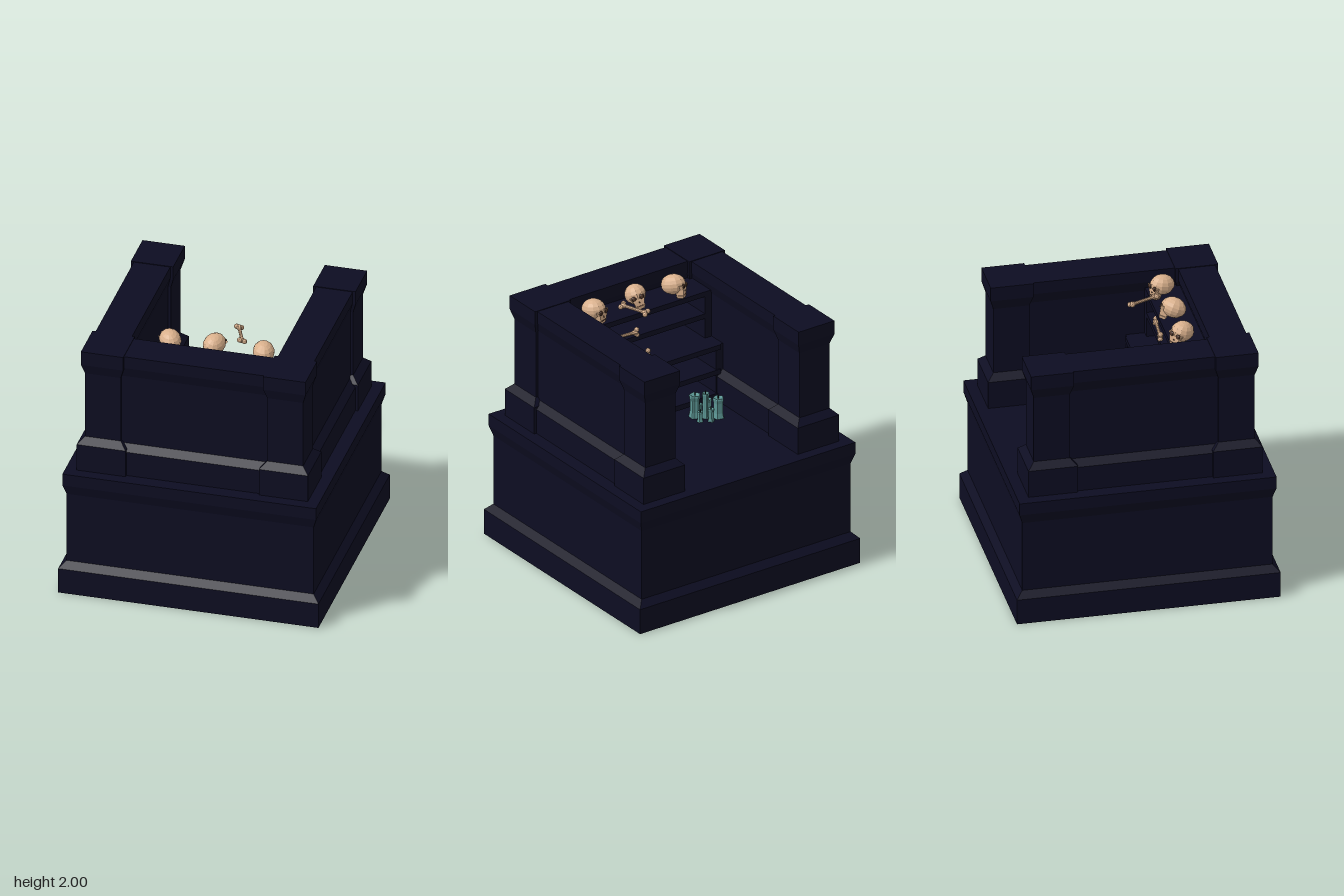
import * as THREE from 'three';

const mat = (name, color) => {
  const m = new THREE.MeshStandardMaterial({ color });
  m.name = name;
  return m;
};
const stone = mat('dark stone', 0x0d0d22);
const boneMat = mat('old bone', 0xd9b08c);
const socketMat = mat('socket brown', 0x4a3226);
const wax = mat('teal wax', 0x5c9694);
const wickMat = mat('wick', 0x14201f);

const flat = (geo) => {
  const g = geo.index ? geo.toNonIndexed() : geo;
  g.computeVertexNormals();
  return g;
};

function add(parent, name, geo, material, x = 0, y = 0, z = 0) {
  const m = new THREE.Mesh(geo, material);
  m.name = name;
  m.position.set(x, y, z);
  parent.add(m);
  return m;
}

// Rectangular block whose outline grows or shrinks by level: [y, halfWidth, halfDepth]
function moulding(levels) {
  const ring = ([y, w, d]) => [[-w, y, d], [w, y, d], [w, y, -d], [-w, y, -d]];
  const pos = [];
  const quad = (a, b, c, d) => pos.push(...a, ...b, ...c, ...a, ...c, ...d);
  const rings = levels.map(ring);
  for (let i = 0; i < rings.length - 1; i++) {
    for (let k = 0; k < 4; k++) {
      const n = (k + 1) % 4;
      quad(rings[i][k], rings[i][n], rings[i + 1][n], rings[i + 1][k]);
    }
  }
  const [a, b, c, d] = rings[0];
  quad(d, c, b, a);
  quad(...rings[rings.length - 1]);
  const g = new THREE.BufferGeometry();
  g.setAttribute('position', new THREE.Float32BufferAttribute(pos, 3));
  g.computeVertexNormals();
  return g;
}

// Skull facing +z, about 0.2 tall
function skull(name) {
  const g = new THREE.Group();
  g.name = name;
  const cranium = new THREE.SphereGeometry(1, 12, 9);
  cranium.scale(0.08, 0.076, 0.095);
  add(g, 'cranium', flat(cranium), boneMat, 0, 0.012, -0.005);
  const face = moulding([[-0.07, 0.034, 0.026], [-0.03, 0.042, 0.034], [0.005, 0.06, 0.036]]);
  add(g, 'cheeks', face, boneMat, 0, 0, 0.045);
  const jaw = moulding([[-0.095, 0.026, 0.02], [-0.072, 0.037, 0.03]]);
  add(g, 'jaw', jaw, boneMat, 0, 0, 0.044);
  add(g, 'mouth', new THREE.BoxGeometry(0.056, 0.006, 0.006), socketMat, 0, -0.071, 0.071);
  for (const s of [-1, 1]) {
    const eye = new THREE.SphereGeometry(1, 8, 6);
    eye.scale(0.02, 0.019, 0.012);
    add(g, 'eyeSocket', flat(eye), socketMat, s * 0.03, -0.004, 0.08);
  }
  const nose = add(g, 'noseHole', flat(new THREE.ConeGeometry(0.011, 0.024, 3)), socketMat, 0, -0.034, 0.076);
  nose.scale.z = 0.6;
  return g;
}

// Long bone between two points, with paired knuckles at both ends
function bone(name, from, to) {
  const a = new THREE.Vector3(...from), b = new THREE.Vector3(...to);
  const len = a.distanceTo(b);
  const g = new THREE.Group();
  g.name = name;
  const profile = [[0, -0.5], [0.02, -0.48], [0.022, -0.42], [0.013, -0.3], [0.012, 0],
    [0.013, 0.3], [0.022, 0.42], [0.02, 0.48], [0, 0.5]].map(([r, t]) => new THREE.Vector2(r, t * len * 0.92));
  add(g, 'shaft', flat(new THREE.LatheGeometry(profile, 8)), boneMat);
  for (const e of [-1, 1]) {
    for (const s of [-1, 1]) {
      add(g, 'knuckle', flat(new THREE.IcosahedronGeometry(0.02, 1)), boneMat, s * 0.019, e * (len / 2 - 0.018), 0);
    }
  }
  g.position.copy(a).lerp(b, 0.5);
  g.quaternion.setFromUnitVectors(new THREE.Vector3(0, 1, 0), b.sub(a).normalize());
  return g;
}

// Candle with a wavy, dripping rim and a sunken top
function candle(r, h, x, z) {
  const g = new THREE.Group();
  g.name = 'candle';
  const pts = [[0, 0], [1.05, 0], [0.85, 0.25], [0.85, 0.75], [1, 0.93], [0.9, 1], [0.5, 0.96], [0, 0.94]];
  const geo = new THREE.LatheGeometry(pts.map(([u, v]) => new THREE.Vector2(u * r, v * h)), 16);
  const p = geo.attributes.position;
  for (let i = 0; i < p.count; i++) {
    const k = 1 + 0.1 * Math.cos(5 * Math.atan2(p.getZ(i), p.getX(i)) + x * 40);
    p.setX(i, p.getX(i) * k);
    p.setZ(i, p.getZ(i) * k);
  }
  add(g, 'wax', flat(geo), wax);
  add(g, 'wick', new THREE.CylinderGeometry(0.005, 0.005, 0.025, 6), wickMat, 0, h + 0.005, 0);
  g.position.set(x, 0.985, z);
  return g;
}

export function createModel() {
  const model = new THREE.Group();
  model.name = 'cryptTower';

  // Plinth with stepped foot and flared top
  const plinth = [[0, 0.985], [0.2, 0.985], [0.25, 0.935], [0.81, 0.935], [0.89, 0.96], [0.985, 0.96]];
  add(model, 'plinth', moulding(plinth.map(([y, r]) => [y, r, r])), stone);

  // Corner pillars
  const pillar = [[0.98, 0.185], [1.2, 0.185], [1.25, 0.135], [1.78, 0.135], [1.86, 0.16], [1.97, 0.16]];
  const pillarGeo = moulding(pillar.map(([y, r]) => [y, r, r]));
  for (const x of [-0.69, 0.69]) {
    for (const z of [-0.69, 0.69]) add(model, 'cornerPillar', pillarGeo, stone, x, 0, z);
  }

  // Walls on three sides; the back stays open
  const wall = [[0.98, 0.165], [1.18, 0.165], [1.23, 0.115], [1.79, 0.115], [1.87, 0.138], [1.965, 0.138]];
  const sideGeo = moulding(wall.map(([y, r]) => [y, r, 0.6]));
  const frontGeo = moulding(wall.map(([y, r]) => [y, 0.6, r]));
  for (const x of [-0.69, 0.69]) add(model, 'sideWall', sideGeo, stone, x, 0, 0);
  add(model, 'frontWall', frontGeo, stone, 0, 0, 0.69);

  // Shelves against the inside of the front wall, the lower ones deeper
  for (const [top, edge] of [[1.82, 0.31], [1.64, 0.31], [1.44, 0.16], [1.24, 0.16], [1.05, 0.16]]) {
    const depth = 0.6 - edge;
    add(model, 'shelf', new THREE.BoxGeometry(1.1, 0.04, depth), stone, 0, top - 0.02, edge + depth / 2);
  }
  for (const s of [-1, 1]) {
    add(model, 'lowerShelfSide', new THREE.BoxGeometry(0.07, 0.46, 0.42), stone, s * 0.55, 1.21, 0.38);
    add(model, 'upperShelfSide', new THREE.BoxGeometry(0.07, 0.38, 0.28), stone, s * 0.55, 1.63, 0.45);
  }

  // Skulls on the top shelf: x, y, z, yaw, pitch, roll
  const skulls = [
    [0.41, 1.908, 0.4, Math.PI + 0.35, -0.15, 0],
    [0.04, 1.918, 0.4, Math.PI - 0.45, -0.3, 0.3],
    [-0.3, 1.9, 0.395, Math.PI + 0.7, -0.2, -0.2],
  ];
  for (const [x, y, z, yaw, pitch, roll] of skulls) {
    const s = skull('skull');
    s.position.set(x, y, z);
    s.rotation.set(pitch, yaw, roll, 'YXZ');
    model.add(s);
  }

  // Bones on the shelves
  model.add(bone('topBone', [0.14, 1.925, 0.1], [0.23, 1.93, 0.33]));
  model.add(bone('upperBone', [0.07, 1.665, 0.32], [0.35, 1.665, 0.34]));
  model.add(bone('middleBone', [-0.03, 1.465, 0.32], [0.24, 1.465, 0.31]));
  model.add(bone('lowerBone', [-0.1, 1.265, 0.1], [-0.1, 1.265, 0.36]));

  // Candle cluster on the floor: radius, height, x, z
  const candles = [
    [0.04, 0.16, -0.38, -0.05], [0.024, 0.1, -0.3, -0.07], [0.022, 0.08, -0.23, -0.03], [0.027, 0.2, -0.3, 0],
    [0.028, 0.12, -0.35, 0.04], [0.041, 0.18, -0.245, 0.055], [0.022, 0.07, -0.31, 0.09],
  ];
  for (const c of candles) model.add(candle(...c));

  return model;
}
